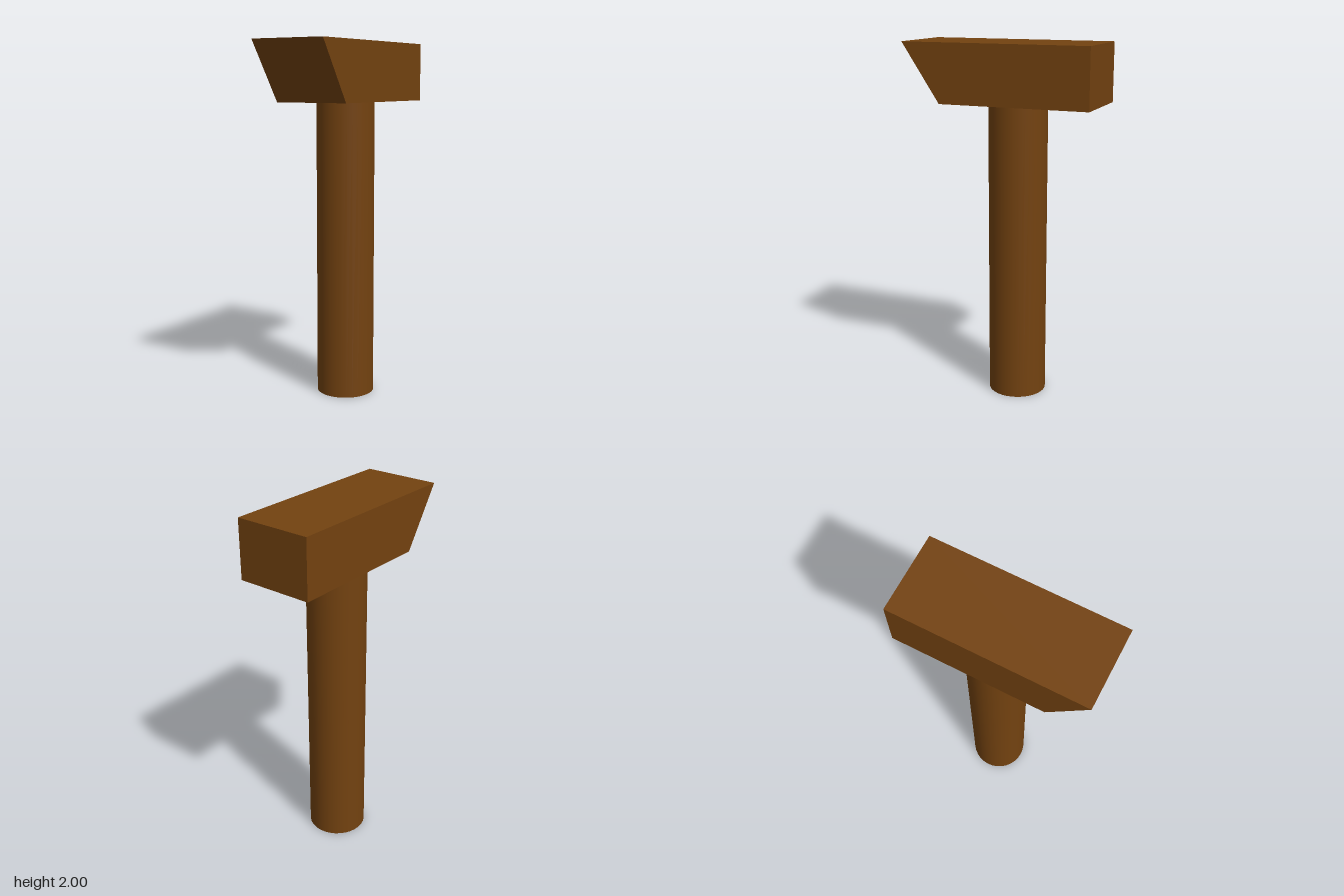
import * as THREE from 'three';

export function createModel() {
  const model = new THREE.Group();
  const wood = new THREE.MeshStandardMaterial({ color: 0x734210 });
  wood.name = 'brown wood';

  const headBottom = 1.675;
  const headWidth = 0.432;

  // Head: side profile (z, y) with a slanted front, extruded across x
  const profile = new THREE.Shape([
    new THREE.Vector2(-0.528, headBottom),
    new THREE.Vector2(0.312, headBottom),
    new THREE.Vector2(0.528, 2),
    new THREE.Vector2(-0.528, 2),
  ]);
  const headGeometry = new THREE.ExtrudeGeometry(profile, { depth: headWidth, bevelEnabled: false });
  headGeometry.translate(0, 0, -headWidth / 2).rotateY(-Math.PI / 2);
  const head = new THREE.Mesh(headGeometry, wood);
  head.name = 'head';

  // Round handle, slightly off centre under the head
  const handle = new THREE.Mesh(new THREE.CylinderGeometry(0.163, 0.163, headBottom, 32), wood);
  handle.name = 'handle';
  handle.position.set(-0.011, headBottom / 2, -0.056);

  model.add(head, handle);
  return model;
}
